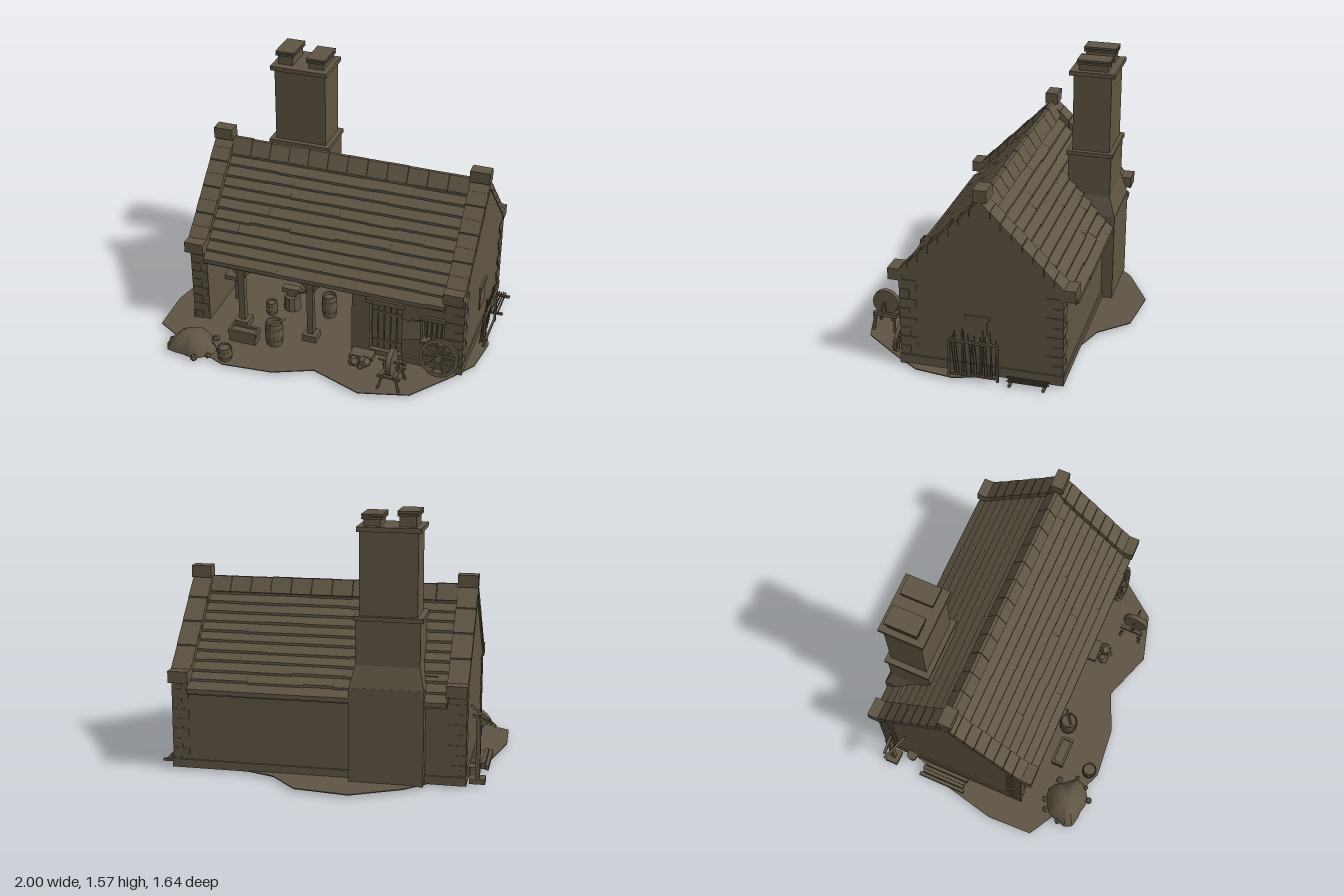
import * as THREE from 'three';

const stone = new THREE.MeshStandardMaterial({ color: 0x5f5544, flatShading: true, side: THREE.DoubleSide });
stone.name = 'weathered brown';
const RIDGE_Z = -0.08;

export function createModel() {
  const root = new THREE.Group();
  root.name = 'smithy';
  let seed = 7;
  const rnd = () => (seed = (seed * 16807) % 2147483647) / 2147483647;

  const add = (name, geo, x = 0, y = 0, z = 0, parent = root) => {
    const m = new THREE.Mesh(geo, stone);
    m.name = name;
    m.position.set(x, y, z);
    parent.add(m);
    return m;
  };
  // box from its limits
  const box = (name, x0, x1, y0, y1, z0, z1, parent) =>
    add(name, new THREE.BoxGeometry(x1 - x0, y1 - y0, z1 - z0), (x0 + x1) / 2, (y0 + y1) / 2, (z0 + z1) / 2, parent);
  // bar between two points
  const bar = (name, a, b, w, round = false, parent) => {
    const p = new THREE.Vector3(...a), q = new THREE.Vector3(...b), d = q.clone().sub(p), len = d.length();
    const geo = round ? new THREE.CylinderGeometry(w / 2, w / 2, len, 6) : new THREE.BoxGeometry(w, len, w);
    const m = add(name, geo, 0, 0, 0, parent);
    m.position.copy(p).add(q).multiplyScalar(0.5);
    m.quaternion.setFromUnitVectors(new THREE.Vector3(0, 1, 0), d.normalize());
    return m;
  };
  const cyl = (name, x, y0, z, r0, r1, h, n = 12, parent) =>
    add(name, new THREE.CylinderGeometry(r1, r0, h, n), x, y0 + h / 2, z, parent);
  // outline in z and y, pushed along x
  const sideProfile = (name, pts, x0, x1) => {
    const s = new THREE.Shape(pts.map(p => new THREE.Vector2(...p)));
    const g = new THREE.ExtrudeGeometry(s, { depth: x1 - x0, bevelEnabled: false }).rotateY(-Math.PI / 2);
    return add(name, g, x1);
  };
  // board laid on a roof slope: u0..u1 is the distance in z from the ridge
  const slopeBoard = (name, side, x0, x1, u0, u1, ridgeY, thick, lift = 0) => {
    const o = s => RIDGE_Z + side * s;
    return sideProfile(name, [
      [o(u0), ridgeY - u0], [o(u1), ridgeY - u1 + lift],
      [o(u1), ridgeY - u1 - thick], [o(u0), ridgeY - u0 - thick]], x0, x1);
  };

  // yard
  const yard = [[-0.2, -0.83], [0.12, -0.79], [0.28, -0.62], [0.62, -0.5], [0.9, -0.2], [0.99, 0.06], [0.96, 0.29], [0.85, 0.45],
    [0.67, 0.68], [0.38, 0.76], [0.07, 0.65], [-0.16, 0.75], [-0.47, 0.78], [-0.78, 0.65], [-0.99, 0.53], [-1, 0.25],
    [-0.93, -0.06], [-0.82, -0.35], [-0.49, -0.68]];
  const yardShape = new THREE.Shape(yard.map(([x, z]) => new THREE.Vector2(x, -z)));
  add('yardGround', new THREE.ExtrudeGeometry(yardShape, { depth: 0.006, bevelEnabled: false }).rotateX(-Math.PI / 2));

  // walls
  const gable = [[0.39, 0], [0.39, 0.56], [RIDGE_Z, 1.03], [-0.55, 0.56], [-0.55, 0]];
  sideProfile('rightGableWall', gable, -0.82, -0.72);
  sideProfile('leftGableWall', gable, 0.8, 0.9);
  sideProfile('partitionWall', gable.map(([z, y]) => [z * 0.97, y * 0.95]), 0.215, 0.27);
  box('backWall', -0.72, 0.8, 0, 0.54, -0.55, -0.48);
  const front = new THREE.Shape();
  front.moveTo(0.215, 0).lineTo(0.8, 0).lineTo(0.8, 0.53).lineTo(0.215, 0.53).closePath();
  const hole = (x0, x1, y0, y1) => front.holes.push(new THREE.Path().moveTo(x0, y0).lineTo(x0, y1).lineTo(x1, y1).lineTo(x1, y0).closePath());
  hole(0.33, 0.53, 0.04, 0.385);
  hole(0.655, 0.785, 0.19, 0.34);
  add('frontWall', new THREE.ExtrudeGeometry(front, { depth: 0.06, bevelEnabled: false }), 0, 0, 0.325);
  // plinths
  box('plinth', 0.897, 0.908, 0, 0.06, -0.56, 0.4);
  box('plinth', -0.828, -0.815, 0, 0.06, -0.56, 0.4);
  box('plinth', -0.82, 0.9, 0, 0.05, -0.56, -0.54);
  box('plinth', 0.54, 0.9, 0, 0.05, 0.37, 0.4);
  // corner stones
  for (let i = 0; i < 9; i++) {
    const y = 0.002 + i * 0.06, long = i % 2 ? 0.1 : 0.06, deep = i % 2 ? 0.06 : 0.1;
    for (const z of [0.395, -0.555]) {
      const s = Math.sign(z), za = z - s * deep;
      box('cornerStone', 0.905 - long, 0.905, y, y + 0.056, Math.min(z, za), Math.max(z, za));
      box('cornerStone', -0.825, -0.825 + long, y, y + 0.056, Math.min(z, za), Math.max(z, za));
    }
  }

  // roof: overlapping courses, ridge tiles and gable coping
  for (const side of [1, -1]) {
    slopeBoard('roofDeck', side, -0.72, 0.8, 0, 0.52, 1.005, 0.025);
    const n = 11, step = 0.53 / n;
    for (let i = 0; i < n; i++) {
      let x = -0.715;
      while (x < 0.795) {
        const end = Math.min(0.795, x + 0.16 + rnd() * 0.2);
        slopeBoard('roofSlates', side, x, end, i * step, (i + 1) * step + rnd() * 0.005, 1.015, 0.012, 0.013 + rnd() * 0.004);
        x = end;
      }
    }
    for (const [x0, x1] of [[-0.83, -0.71], [0.785, 0.905]])
      for (let i = 0; i < 8; i++)
        slopeBoard('copingStone', side, x0, x1, i * 0.06, i * 0.06 + 0.057, 1.07 + (i % 2) * 0.004, 0.055);
  }
  for (const [x0, x1] of [[-0.83, -0.71], [0.785, 0.905]]) {
    box('ridgeBlock', x0, x1, 1.06, 1.132, -0.12, -0.042);
    box('kneelerStone', x0, x1, 0.53, 0.6, 0.375, 0.46);
    box('kneelerStone', x0, x1, 0.53, 0.6, -0.62, -0.535);
  }
  for (let i = 0; i < 12; i++) {
    const x = -0.71 + i * 0.1246, t = 1.068 + rnd() * 0.008;
    sideProfile('ridgeTile', [[-0.145, 0.985], [-0.09, t], [-0.07, t], [-0.025, 0.985], [-0.04, 0.975], [-0.08, 1.02], [-0.12, 0.975]], x, x + 0.122);
  }
  // rafters
  for (let i = 0; i < 13; i++) {
    const x = -0.68 + i * 0.118;
    for (const s of [1, -1])
      bar('rafter', [x, 0.955, RIDGE_Z + s * 0.02], [x, 0.475, RIDGE_Z + s * 0.5], 0.024);
  }

  // open porch: beam, posts and braces
  box('eaveBeam', -0.75, 0.24, 0.485, 0.525, 0.335, 0.38);
  for (const x of [-0.505, -0.055]) {
    box('postFoot', x - 0.045, x + 0.045, 0, 0.05, 0.315, 0.405);
    box('porchPost', x - 0.02, x + 0.02, 0.05, 0.49, 0.34, 0.38);
    for (const s of [1, -1]) bar('postBrace', [x + s * 0.01, 0.365, 0.36], [x + s * 0.115, 0.49, 0.36], 0.024);
  }

  // chimney
  box('chimneyBreast', -0.59, -0.16, 0, 0.56, -0.62, -0.48);
  const shoulder = new THREE.BoxGeometry(0.43, 0.13, 0.32), p = shoulder.attributes.position;
  for (let i = 0; i < p.count; i++) if (p.getY(i) > 0) {
    p.setX(i, p.getX(i) * 0.86);
    if (p.getZ(i) < 0) p.setZ(i, p.getZ(i) + 0.04);
  }
  add('chimneyShoulder', shoulder, -0.375, 0.62, -0.46);
  box('lowerStack', -0.56, -0.19, 0.68, 0.945, -0.58, -0.315);
  box('stackBand', -0.575, -0.18, 0.94, 0.965, -0.59, -0.305);
  box('upperStack', -0.54, -0.21, 0.96, 1.44, -0.565, -0.335);
  box('stackCap', -0.56, -0.195, 1.44, 1.467, -0.585, -0.31);
  for (const [x0, x1, t] of [[-0.525, -0.43, 1.555], [-0.325, -0.23, 1.535]]) {
    box('chimneyPot', x0, x1, 1.46, t - 0.01, -0.54, -0.36);
    box('potRim', x0 - 0.012, x1 + 0.012, t - 0.03, t - 0.018, -0.55, -0.35);
    box('potRim', x0 - 0.012, x1 + 0.012, t - 0.012, t, -0.55, -0.35);
  }

  // hearth under the hood
  box('hearthHood', -0.65, -0.17, 0.29, 0.62, -0.49, -0.22);
  box('hearthLintel', -0.66, -0.16, 0.285, 0.315, -0.24, -0.21);
  box('hearthBlock', -0.56, -0.2, 0, 0.14, -0.48, -0.22);
  box('hearthTop', -0.58, -0.18, 0.14, 0.165, -0.48, -0.2);
  box('workbench', -0.72, -0.62, 0.155, 0.185, -0.35, 0.15);
  for (const z of [-0.32, 0.12]) box('benchLeg', -0.66, -0.63, 0, 0.16, z - 0.015, z + 0.015);

  // door
  box('door', 0.33, 0.53, 0.03, 0.385, 0.335, 0.35);
  for (let i = 0; i < 5; i++) box('doorPlank', 0.336 + i * 0.039, 0.37 + i * 0.039, 0.04, 0.38, 0.345, 0.358);
  for (const y of [0.09, 0.3]) box('doorStrap', 0.34, 0.52, y, y + 0.018, 0.355, 0.364);
  box('doorLintel', 0.305, 0.545, 0.385, 0.418, 0.37, 0.4);
  box('doorStep', 0.23, 0.37, 0, 0.035, 0.39, 0.47);
  // window with bars and open shutter
  box('windowBack', 0.65, 0.79, 0.185, 0.345, 0.335, 0.345);
  for (let i = 0; i < 4; i++) box('windowBar', 0.672 + i * 0.03, 0.68 + i * 0.03, 0.19, 0.34, 0.36, 0.37);
  box('windowLintel', 0.64, 0.795, 0.34, 0.367, 0.37, 0.4);
  box('windowSill', 0.645, 0.795, 0.175, 0.192, 0.37, 0.405);
  const shutter = box('shutter', 0.54, 0.65, 0.2, 0.335, 0.408, 0.42);
  shutter.rotation.y = 0.25;

  // cart wheel leaning on the wall
  const wheel = new THREE.Group();
  wheel.name = 'cartWheel';
  wheel.position.set(0.775, 0.122, 0.435);
  wheel.rotation.x = -0.2;
  root.add(wheel);
  const rim = [[0.1, -0.011], [0.12, -0.011], [0.12, 0.011], [0.1, 0.011], [0.1, -0.011]].map(q => new THREE.Vector2(...q));
  add('wheelRim', new THREE.LatheGeometry(rim, 24).rotateX(Math.PI / 2), 0, 0, 0, wheel);
  add('wheelHub', new THREE.CylinderGeometry(0.022, 0.022, 0.045, 10).rotateX(Math.PI / 2), 0, 0, 0, wheel);
  for (let i = 0; i < 10; i++) {
    const a = i * Math.PI / 5;
    bar('wheelSpoke', [0, 0, 0], [Math.cos(a) * 0.105, Math.sin(a) * 0.105, 0], 0.01, false, wheel);
  }

  // grindstone on its stand
  add('grindstone', new THREE.CylinderGeometry(0.08, 0.08, 0.03, 20).rotateZ(Math.PI / 2), 0.54, 0.17, 0.62);
  bar('grindstoneAxle', [0.46, 0.17, 0.62], [0.63, 0.17, 0.62], 0.012, true);
  for (const s of [1, -1]) {
    box('standRail', 0.54 + s * 0.04 - 0.009, 0.54 + s * 0.04 + 0.009, 0.09, 0.115, 0.54, 0.69);
    box('axleBearing', 0.54 + s * 0.04 - 0.008, 0.54 + s * 0.04 + 0.008, 0.11, 0.18, 0.61, 0.63);
    for (const z of [0.56, 0.67]) {
      bar('standLeg', [0.54 + s * 0.065, 0, z + (z > 0.6 ? 0.012 : -0.012)], [0.54 + s * 0.04, 0.1, z], 0.014);
      if (s > 0) box('standCrossbar', 0.47, 0.61, 0.085, 0.1, z - 0.008, z + 0.008);
    }
  }

  // tubs, barrels and trough
  const tub = (name, x, z, r, h) => {
    const pts = [[0, 0], [r * 0.82, 0], [r, h * 0.5], [r * 0.88, h], [r * 0.76, h], [r * 0.76, h * 0.85], [0, h * 0.85]];
    add(name, new THREE.LatheGeometry(pts.map(q => new THREE.Vector2(...q)), 14), x, 0.004, z);
    for (const f of [0.25, 0.75]) cyl(name + 'Hoop', x, h * f, z, r * 0.97, r * 0.97, h * 0.06, 14);
  };
  tub('waterBarrel', -0.25, 0.48, 0.058, 0.16);
  bar('barrelTool', [-0.27, 0.15, 0.5], [-0.19, 0.17, 0.44], 0.012);
  tub('storeBarrel', -0.03, 0.1, 0.05, 0.155);
  tub('bucket', -0.475, 0.72, 0.047, 0.088);
  tub('smallTub', -0.38, 0.2, 0.038, 0.09);
  box('trough', -0.52, -0.35, 0, 0.075, 0.48, 0.55);
  for (const z of [0.482, 0.548]) box('troughSide', -0.525, -0.345, 0.06, 0.09, z - 0.007, z + 0.007);
  for (const x of [-0.52, -0.35]) box('troughEnd', x - 0.007, x + 0.007, 0.06, 0.09, 0.48, 0.55);
  // anvil on a stump
  cyl('anvilStump', -0.28, 0, 0.1, 0.055, 0.05, 0.1, 10);
  box('anvilWaist', -0.31, -0.25, 0.1, 0.13, 0.08, 0.12);
  box('anvilTop', -0.34, -0.23, 0.13, 0.16, 0.075, 0.125);
  add('anvilHorn', new THREE.ConeGeometry(0.022, 0.07, 8).rotateZ(-Math.PI / 2), -0.195, 0.145, 0.1);

  // coal heap and loose stones
  const heap = new THREE.SphereGeometry(1, 18, 7, 0, Math.PI * 2, 0, Math.PI / 2), h = heap.attributes.position;
  for (let i = 0; i < h.count; i++) {
    const x = h.getX(i), y = h.getY(i), z = h.getZ(i), a = Math.atan2(z, x);
    const r = 1 + 0.1 * Math.sin(3 * a) + 0.06 * Math.cos(5 * a);
    h.setXYZ(i, x * r * 0.15, Math.pow(y, 1.5) * 0.11, z * r * 0.125);
  }
  heap.computeVertexNormals();
  add('coalHeap', heap, -0.71, 0.004, 0.665);
  const lumps = [[-0.81, 0.56, 0.02], [-0.75, 0.53, 0.018], [-0.6, 0.57, 0.022], [-0.58, 0.74, 0.018], [-0.65, 0.79, 0.022],
    [-0.85, 0.66, 0.02], [-0.54, 0.67, 0.015], [0.27, 0.51, 0.035], [0.335, 0.5, 0.04], [0.32, 0.535, 0.02]];
  for (const [x, z, r] of lumps)
    add('looseStone', new THREE.DodecahedronGeometry(r), x, r * 0.6, z).rotation.set(rnd() * 3, rnd() * 3, 0);

  // pump by the right gable, with a plank stack
  bar('pumpPost', [-0.885, 0, -0.47], [-0.885, 0.385, -0.47], 0.026);
  bar('pumpHandle', [-0.98, 0.335, -0.46], [-0.83, 0.43, -0.385], 0.015);
  bar('pumpSpout', [-0.96, 0.35, -0.47], [-0.85, 0.4, -0.47], 0.016);
  box('pumpBase', -0.93, -0.84, 0, 0.03, -0.51, -0.43);
  cyl('pumpBucket', -0.84, 0, -0.36, 0.026, 0.034, 0.06);
  for (let i = 0; i < 4; i++)
    box('stackedPlank', -0.93 + i * 0.024, -0.909 + i * 0.024, 0.004, 0.03 + (i % 2) * 0.012, -0.27 + rnd() * 0.02, 0.04 - rnd() * 0.02);

  // left gable: small window, rack of iron rods, bars laid on sleepers
  box('sideLintel', 0.895, 0.912, 0.345, 0.37, -0.135, 0.012);
  box('sideWindow', 0.898, 0.906, 0.2, 0.345, -0.12, 0);
  for (const z of [0.088, -0.195]) bar('rackPost', [0.965, 0, z], [0.965, 0.235, z], 0.014);
  bar('rackRail', [0.965, 0.23, 0.095], [0.965, 0.23, -0.2], 0.014);
  bar('rackFoot', [0.965, 0.02, 0.095], [0.965, 0.02, -0.2], 0.012);
  for (let i = 0; i < 17; i++) {
    const z = 0.065 - i * 0.0148;
    bar('ironRod', [0.925 + rnd() * 0.02, 0.005, z], [0.945 + rnd() * 0.022, 0.22 + rnd() * 0.1, z + (rnd() - 0.5) * 0.04], 0.007, true);
  }
  for (const z of [-0.27, -0.465]) box('sleeper', 0.91, 1, 0, 0.014, z - 0.008, z + 0.008);
  for (let i = 0; i < 4; i++)
    bar('laidBar', [0.928 + i * 0.014, 0.02, -0.49 + rnd() * 0.02], [0.925 + i * 0.015, 0.02, -0.24 - rnd() * 0.02], 0.01, true);

  return root;
}
